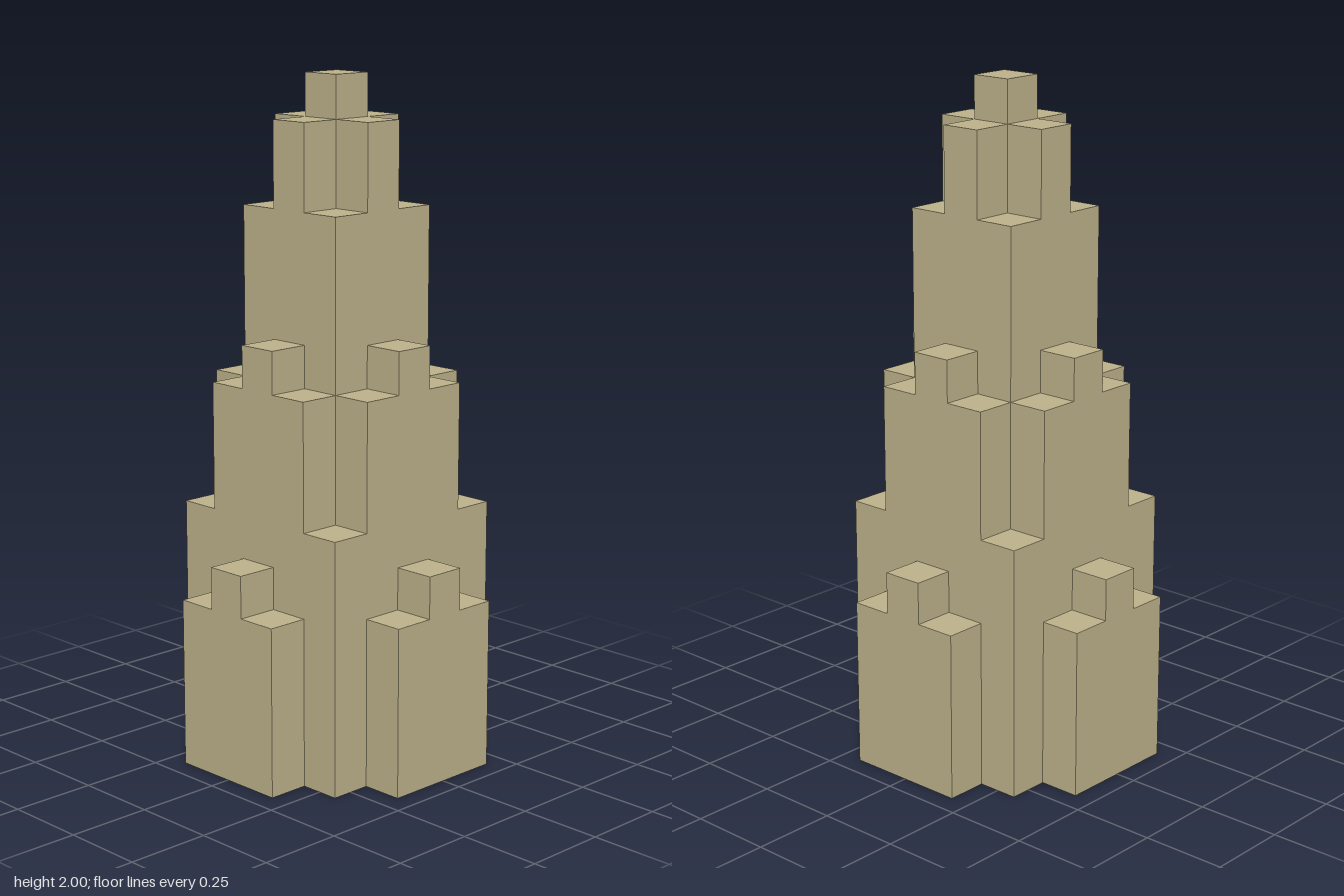
import * as THREE from 'three';
import { mergeGeometries } from 'three/addons/utils/BufferGeometryUtils.js';

const U = 0.125; // side of one square column

// Column heights in units, by distance from the centre along each axis
const HEIGHTS = [
  [16, 15, 10, 5],
  [15, 13, 9, 4],
  [10, 9, 6, 0],
  [5, 4, 0, 0],
];
const heightAt = (i, j) => HEIGHTS[Math.abs(i)]?.[Math.abs(j)] ?? 0;

// Each tier is a set of columns, by how far out they stand
const TIERS = ['spire', 'spireButtresses', 'middleButtresses', 'baseButtresses'];

// Horizontal square facing up or down
function cap(i, j, y, up) {
  return new THREE.PlaneGeometry(U, U)
    .rotateX(up ? -Math.PI / 2 : Math.PI / 2)
    .translate(i * U, y * U, j * U);
}

// Wall facing (dx, dz), from height low to height high
function wall(i, j, dx, dz, low, high) {
  return new THREE.PlaneGeometry(U, (high - low) * U)
    .rotateY(Math.atan2(dx, dz))
    .translate((i + dx / 2) * U, ((low + high) / 2) * U, (j + dz / 2) * U);
}

// Only the outer faces of a column: top, base and walls above its neighbours
function columnFaces(i, j) {
  const h = heightAt(i, j);
  const faces = [cap(i, j, h, true), cap(i, j, 0, false)];
  for (const [dx, dz] of [[1, 0], [-1, 0], [0, 1], [0, -1]]) {
    const low = heightAt(i + dx, j + dz);
    if (low < h) faces.push(wall(i, j, dx, dz, low, h));
  }
  return faces;
}

export function createModel() {
  const stone = new THREE.MeshStandardMaterial({ color: 0xbdb28a });
  stone.name = 'sandstone';

  const tower = new THREE.Group();
  tower.name = 'steppedTower';

  TIERS.forEach((name, ring) => {
    const faces = [];
    for (let i = -ring; i <= ring; i++) {
      for (let j = -ring; j <= ring; j++) {
        const onRing = Math.max(Math.abs(i), Math.abs(j)) === ring;
        if (onRing && heightAt(i, j) > 0) faces.push(...columnFaces(i, j));
      }
    }
    const mesh = new THREE.Mesh(mergeGeometries(faces), stone);
    mesh.name = name;
    tower.add(mesh);
  });

  return tower;
}
